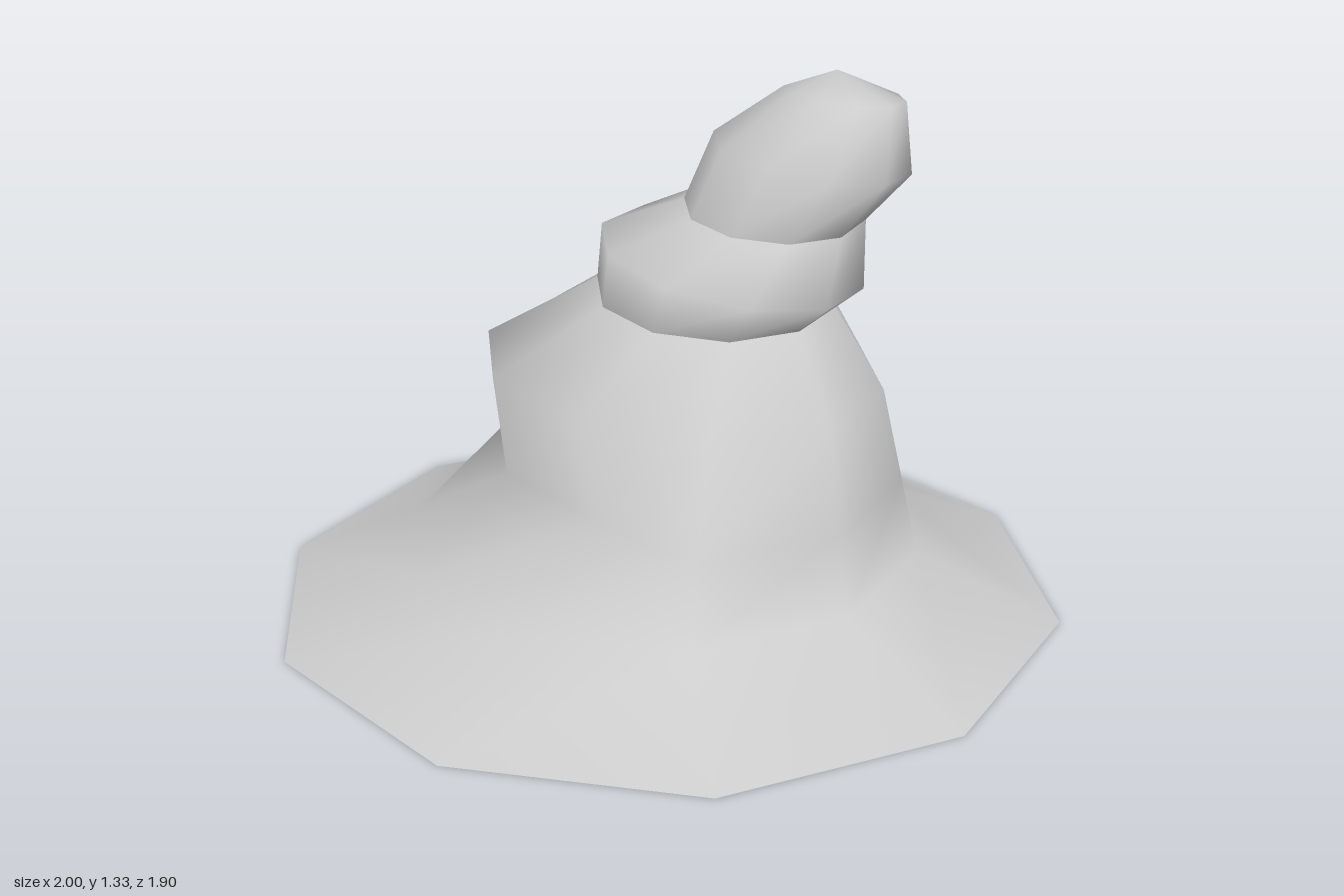
import * as THREE from 'three';

const SIDES = 10;
const material = new THREE.MeshStandardMaterial({ color: 0xcccccc, side: THREE.DoubleSide });

// Ten-sided ring: centre, radii, and slope of its height along x and z
function ring(cx, y, cz, rx, rz = rx, slopeX = 0, slopeZ = 0) {
  return Array.from({ length: SIDES }, (_, k) => {
    const a = (k / SIDES) * Math.PI * 2;
    const dx = Math.cos(a) * rx, dz = Math.sin(a) * rz;
    return [cx + dx, y + slopeX * dx + slopeZ * dz, cz + dz];
  });
}

// Smooth skin over a stack of rings, optionally closed by an apex
function loft(name, rings, apex) {
  const points = rings.flat();
  const index = [];
  for (let i = 0; i < rings.length - 1; i++) {
    for (let k = 0; k < SIDES; k++) {
      const a = i * SIDES + k, b = i * SIDES + ((k + 1) % SIDES);
      index.push(a, a + SIDES, b, b, a + SIDES, b + SIDES);
    }
  }
  if (apex) {
    const top = points.length, start = top - SIDES;
    points.push(apex);
    for (let k = 0; k < SIDES; k++) index.push(start + k, top, start + ((k + 1) % SIDES));
  }
  const geometry = new THREE.BufferGeometry();
  geometry.setAttribute('position', new THREE.Float32BufferAttribute(points.flat(), 3));
  geometry.setIndex(index);
  geometry.computeVertexNormals();
  const mesh = new THREE.Mesh(geometry, material);
  mesh.name = name;
  return mesh;
}

export function createModel() {
  const group = new THREE.Group();
  group.name = 'crumpledHat';

  // Lower crown ring, dented inward on the right and back right
  const dented = ring(0.01, 0.34, -0.04, 0.6, 0.62);
  dented[4] = [-0.3, 0.36, 0.29];
  dented[5] = [-0.41, 0.37, -0.04];
  dented[6] = [-0.28, 0.4, -0.33];
  dented[7] = [0.01, 0.44, -0.6];
  dented[8] = [0.2, 0.37, -0.63];

  const neck = ring(0.145, 0.77, -0.03, 0.3, 0.295, 0, -0.1);
  const collar = ring(0.275, 0.985, 0.035, 0.225, 0.226, 0, -0.1);

  // Wide brim flowing into the open-bottomed crown
  group.add(loft('brimAndCrown', [
    ring(0, 0, 0, 1),
    ring(0, 0.15, -0.018, 0.648),
    dented,
    ring(0.075, 0.585, -0.065, 0.505, 0.52, -0.06, -0.04),
    neck,
  ]));

  // Slumped fold in the middle
  group.add(loft('middleFold', [
    neck,
    ring(0.18, 0.865, -0.005, 0.33, 0.326, -0.136, -0.14),
    collar,
  ]));

  // Rounded tip leaning to the left
  group.add(loft('tip', [
    collar,
    ring(0.36, 1.125, 0.065, 0.245, 0.24, -0.14, -0.1),
    ring(0.44, 1.265, 0.075, 0.148, 0.155, -0.1, 0),
  ], [0.42, 1.325, 0.07]));

  return group;
}
